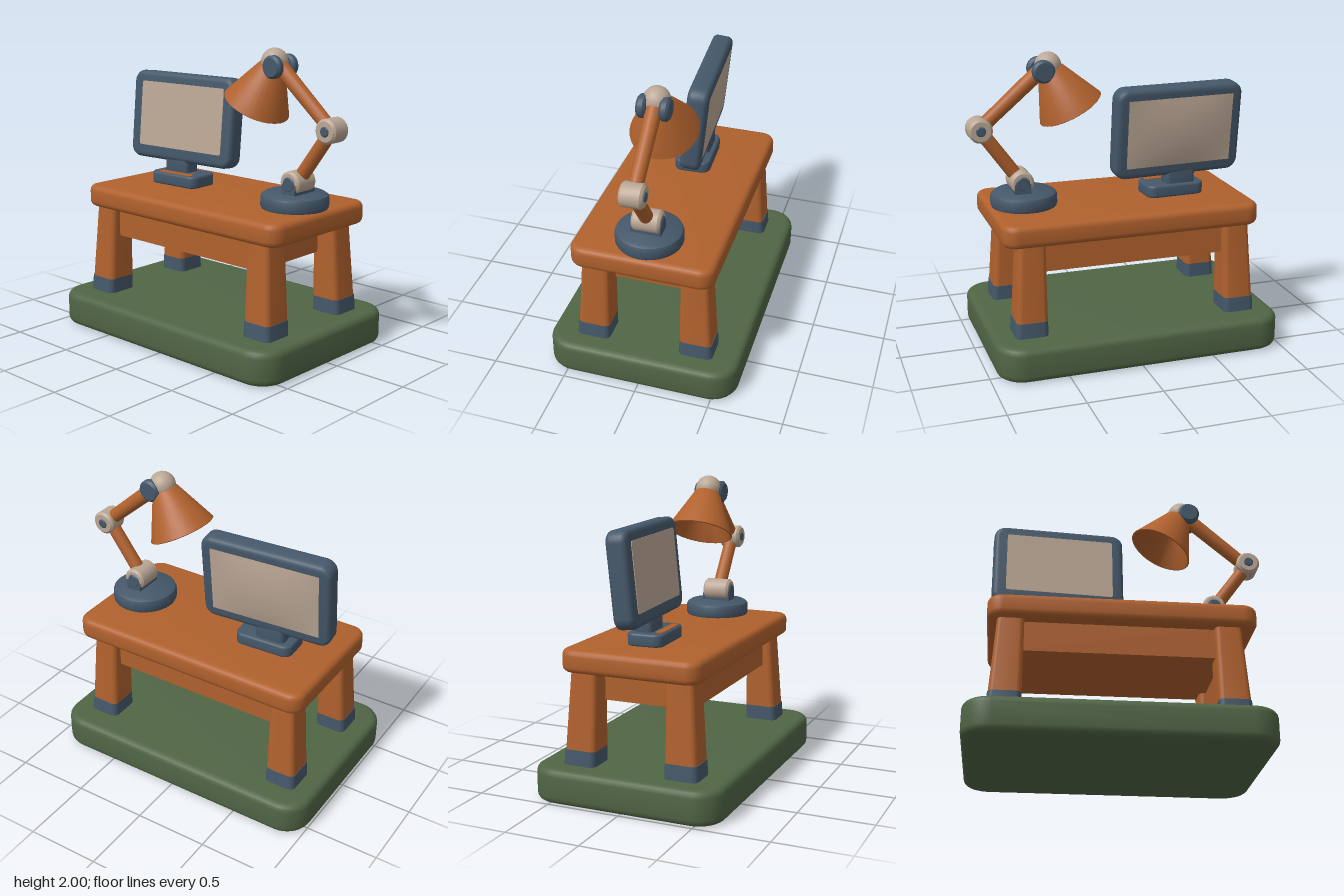
import * as THREE from 'three';
import { toCreasedNormals } from 'three/addons/utils/BufferGeometryUtils.js';

const mat = (name, color, side = THREE.FrontSide) => {
  const m = new THREE.MeshStandardMaterial({ color, side });
  m.name = name;
  return m;
};

export function createModel() {
  const orange = mat('orange wood', 0xb0612d, THREE.DoubleSide);
  const green = mat('green', 0x506545);
  const slate = mat('slate', 0x45586a);
  const beige = mat('beige', 0xbba795, THREE.DoubleSide);

  const model = new THREE.Group();
  model.name = 'deskWithLampAndMonitor';

  const add = (parent, name, geo, material, x = 0, y = 0, z = 0) => {
    const m = new THREE.Mesh(geo, material);
    m.name = name;
    m.position.set(x, y, z);
    parent.add(m);
    return m;
  };
  const group = (name) => {
    const g = new THREE.Group();
    g.name = name;
    model.add(g);
    return g;
  };

  // Rounded rectangle extruded along z with softened edges, centred
  const plate = (w, h, depth, r, bevel) => {
    const x = w / 2 - bevel, y = h / 2 - bevel, c = Math.max(r - bevel, 0.005);
    const s = new THREE.Shape();
    s.moveTo(-x + c, -y);
    s.lineTo(x - c, -y);
    s.absarc(x - c, -y + c, c, -Math.PI / 2, 0);
    s.absarc(x - c, y - c, c, 0, Math.PI / 2);
    s.absarc(-x + c, y - c, c, Math.PI / 2, Math.PI);
    s.absarc(-x + c, -y + c, c, Math.PI, Math.PI * 1.5);
    const g = new THREE.ExtrudeGeometry(s, {
      depth: depth - 2 * bevel, curveSegments: 6, bevelEnabled: bevel > 0,
      bevelSize: bevel, bevelThickness: bevel, bevelSegments: 4,
    });
    g.translate(0, 0, -(depth / 2 - bevel));
    return toCreasedNormals(g, 0.6);
  };
  // Same form lying flat: width x, height y, depth z
  const slab = (w, h, d, r, bevel) => plate(w, d, h, r, bevel).rotateX(-Math.PI / 2);

  // Floor base
  add(model, 'floorBase', slab(1.95, 0.23, 1.3, 0.18, 0.045), green, -0.025, 0.115, 0);

  // Desk top and apron
  const desk = group('desk');
  add(desk, 'deskTop', slab(1.75, 0.15, 0.96, 0.1, 0.04), orange, -0.005, 0.915, 0);
  add(desk, 'apron', new THREE.BoxGeometry(1.32, 0.22, 0.74), orange, -0.025, 0.75, 0);

  // Tapered legs: inner faces upright, outer faces splaying toward the floor
  const legPart = (y0, y1, sx, sz, grow) => {
    const g = slab(1, y1 - y0, 1, 0.18, 0).toNonIndexed();
    const p = g.attributes.position;
    for (let i = 0; i < p.count; i++) {
      const y = p.getY(i) + (y0 + y1) / 2;
      const size = 0.215 + grow - 0.04 * (y - 0.23) / 0.61;
      p.setXYZ(i,
        sx * 0.615 - 0.025 + sx * (p.getX(i) * sx + 0.5) * size,
        y,
        sz * 0.24 + sz * (p.getZ(i) * sz + 0.5) * (size + 0.01));
    }
    return toCreasedNormals(g, 0.6);
  };
  for (const sx of [-1, 1]) for (const sz of [-1, 1]) {
    const where = (sz > 0 ? 'front' : 'back') + (sx > 0 ? 'Left' : 'Right');
    add(desk, where + 'Leg', legPart(0.33, 0.86, sx, sz, 0), orange);
    add(desk, where + 'Foot', legPart(0.22, 0.33, sx, sz, 0.004), slate);
  }

  // Monitor stand
  const stand = group('monitorStand');
  stand.position.set(-0.4, 0, -0.02);
  stand.rotation.y = 0.05;
  add(stand, 'standFoot', slab(0.41, 0.085, 0.25, 0.06, 0.015), slate, 0, 1.03, 0);
  add(stand, 'standInlay', slab(0.3, 0.006, 0.05, 0.02, 0), orange, 0.01, 1.074, 0.082);
  add(stand, 'standNeck', slab(0.21, 0.14, 0.13, 0.03, 0.01), slate, -0.04, 1.12, -0.03);

  // Monitor, turned slightly and leaning back
  const monitor = group('monitor');
  monitor.position.set(-0.415, 1.445, -0.075);
  monitor.rotation.set(-0.1, 0.07, 0, 'YXZ');
  add(monitor, 'monitorCase', plate(0.91, 0.62, 0.14, 0.08, 0.035), slate);
  add(monitor, 'screen', plate(0.74, 0.455, 0.006, 0.015, 0), beige, 0.005, 0.008, 0.071);
  // Gently domed rear panel
  const rear = new THREE.PlaneGeometry(0.76, 0.47, 16, 12);
  const rp = rear.attributes.position;
  for (let i = 0; i < rp.count; i++) {
    const u = rp.getX(i) / 0.38, v = rp.getY(i) / 0.235;
    rp.setZ(i, 0.025 * (1 - u * u) * (1 - v * v));
  }
  rear.computeVertexNormals();
  add(monitor, 'rearPanel', rear, beige, 0, 0.005, -0.073).rotation.y = Math.PI;

  // Lamp
  const lamp = group('lamp');
  const v = (x, y, z = 0) => new THREE.Vector3(x, y, z);
  const foot = v(0.655, 1.16), elbow = v(0.915, 1.52), head = v(0.49, 1.89);

  const lathe = (pts, segs = 32) =>
    toCreasedNormals(new THREE.LatheGeometry(pts.map(([r, y]) => new THREE.Vector2(r, y)), segs), 0.6);
  add(lamp, 'lampBase', lathe([[0, 0], [0.215, 0], [0.222, 0.015], [0.222, 0.07],
    [0.215, 0.087], [0.195, 0.1], [0, 0.1]]), slate, 0.63, 0.988, 0);

  // Arms between the joints
  const arm = (name, a, b, ra, rb) => {
    const m = add(lamp, name, new THREE.CylinderGeometry(rb, ra, a.distanceTo(b), 16), orange);
    m.position.copy(a).lerp(b, 0.5);
    m.quaternion.setFromUnitVectors(v(0, 1), b.clone().sub(a).normalize());
  };
  arm('lowerArm', foot, elbow, 0.047, 0.045);
  arm('upperArm', elbow, head, 0.046, 0.052);

  // Joints turn about z and carry a pin showing at both ends
  const drum = (name, p, r, w, material) => {
    const b = 0.015, h = w / 2;
    const g = lathe([[0, -h], [r - b, -h], [r, -h + b], [r, h - b], [r - b, h], [0, h]], 20);
    add(lamp, name, g.rotateX(Math.PI / 2), material, p.x, p.y, p.z);
  };
  drum('footJoint', foot, 0.078, 0.19, beige);
  drum('footPin', v(0.655, 1.155), 0.055, 0.205, slate);
  add(lamp, 'footBracket', new THREE.BoxGeometry(0.11, 0.08, 0.2), slate, 0.655, 1.115, 0);
  drum('elbowJoint', elbow, 0.08, 0.15, beige);
  drum('elbowPin', elbow, 0.042, 0.162, slate);
  add(lamp, 'headJoint', new THREE.SphereGeometry(0.088, 24, 16), beige, 0.45, 1.912, 0);
  for (const s of [-1, 1])
    drum(s > 0 ? 'frontHeadPin' : 'backHeadPin', v(0.498, 1.885, s * 0.073), 0.075, 0.06, slate);

  // Hollow shade tilted down toward the desk
  const shade = add(lamp, 'lampShade', lathe([[0, 0.285], [0.075, 0.285], [0.212, 0.005],
    [0.218, 0], [0.225, 0.005], [0.09, 0.29], [0.075, 0.305], [0, 0.305]]), orange, 0.3, 1.617, 0);
  shade.rotation.z = -Math.atan2(0.457, 0.891);

  return model;
}
